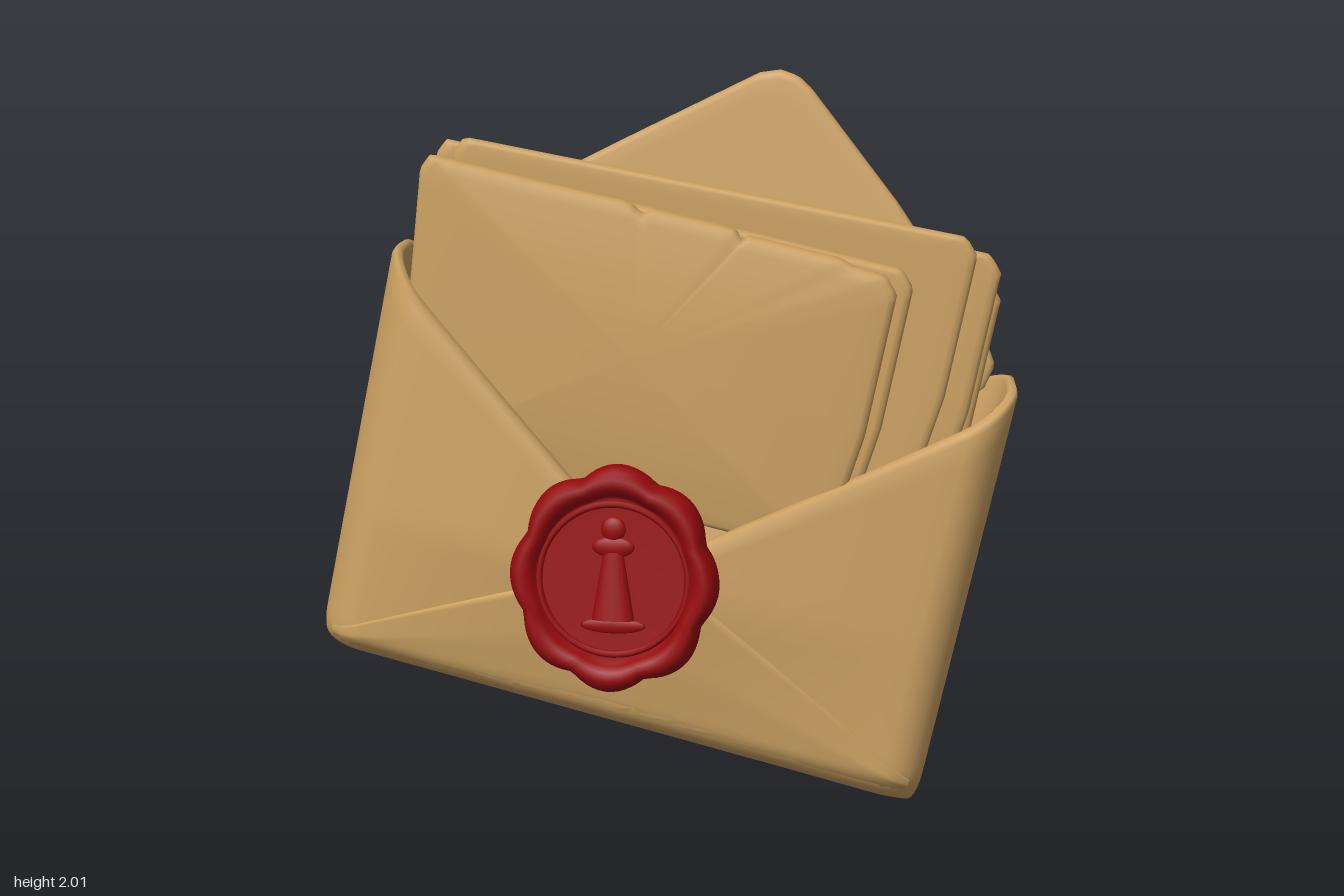
import * as THREE from 'three';

const paper = new THREE.MeshStandardMaterial({ color: 0xc99f61 });
paper.name = 'tan paper';
const wax = new THREE.MeshStandardMaterial({ color: 0x94080b });
wax.name = 'red wax';

function mesh(name, geometry, material) {
  const m = new THREE.Mesh(geometry, material);
  m.name = name;
  return m;
}

// Skin a list of equal-length rows of points
function loft(rows, closed) {
  const n = rows[0].length, index = [];
  for (let j = 0; j < rows.length - 1; j++) {
    for (let i = 0; i < (closed ? n : n - 1); i++) {
      const k = (i + 1) % n, a = j * n, b = a + n;
      index.push(a + i, a + k, b + k, a + i, b + k, b + i);
    }
  }
  const g = new THREE.BufferGeometry().setFromPoints(rows.flat());
  g.setIndex(index);
  g.computeVertexNormals();
  return g;
}

// Envelope body: [left, right] corners of a leaning, tapering box
const V = (x, y, z) => new THREE.Vector3(x, y, z);
const corners = {
  frontLow: [V(-1.015, 0.355, 0.15), V(0.735, -0.01, 0.385)],
  frontTop: [V(-0.8, 1.49, 0.04), V(0.995, 1.13, 0.26)],
  backLow: [V(-0.99, 0.38, -0.32), V(0.72, -0.01, 0.1)],
  backTop: [V(-0.77, 1.45, -0.475), V(0.985, 1.15, -0.14)],
};
const RS = 0.14, RT = 0.8; // corner radii of the section

// s runs left to right, t back to front, v bottom to top
function wall(s, t, v) {
  const q = Math.min(1, v / 0.09);
  const round = Math.sqrt(Math.max(0, 1 - (1 - q) ** 2));
  const bulge = 1 + 0.38 * (1 - s * s) * Math.min(1, v / 0.4);
  const u = (s * (0.975 + 0.025 * round) + 1) / 2;
  const w = (t * round * bulge + 1) / 2;
  const edge = (k) => corners[k][0].clone().lerp(corners[k][1], u);
  const front = edge('frontLow').lerp(edge('frontTop'), v);
  const back = edge('backLow').lerp(edge('backTop'), v);
  return back.lerp(front, w);
}

// Rounded-rectangle section, starting at the front left
function section() {
  const pts = [];
  const straight = (dir, t) => {
    for (let i = 1; i < 32; i++) pts.push([dir * (1 - RS) * (i / 16 - 1), t]);
  };
  const arc = (cs, ct, from) => {
    for (let i = 0; i <= 7; i++) {
      const a = from - (i / 14) * Math.PI;
      pts.push([cs * (1 - RS) + RS * Math.cos(a), ct * (1 - RT) + RT * Math.sin(a)]);
    }
  };
  straight(1, 1);
  arc(1, 1, Math.PI / 2);
  arc(1, -1, 0);
  straight(-1, -1);
  arc(-1, -1, -Math.PI / 2);
  arc(-1, 1, Math.PI);
  return pts;
}

// Pocket with a V-shaped opening in front and back, and a rolled rim
function pocket() {
  const ring = section();
  const row = (f, inset, lift) => ring.map(([s, t]) => {
    const low = t > 0 ? 0.44 : 0.5;
    const rim = low + (1 - low) * Math.abs(s) + 0.02 * Math.max(0, 1 - t * t);
    return wall(s * (1 - 0.035 * inset), t * (1 - 0.17 * inset), rim * f + lift);
  });
  const rows = [];
  for (let j = 0; j <= 26; j++) rows.push(row((j / 26) ** 1.7, 0, 0));
  rows.push(row(1, 0.25, 0.012), row(1, 0.75, 0.012), row(1, 1, 0));
  for (let j = 1; j <= 12; j++) rows.push(row(1 - j / 12, 1, 0));
  return loft(rows, true);
}

// Triangular bottom flap laid over the front (side 1) or back (side -1)
function bottomFlap(side, apex) {
  const reach = 0.95, rows = [];
  for (let j = 0; j <= 16; j++) {
    const row = [];
    for (let i = 0; i <= 48; i++) {
      const s = side * reach * (i / 24 - 1);
      const over = Math.max(0, (Math.abs(s) - 1 + RS) / RS);
      const t = side * (1 - RT + RT * Math.sqrt(1 - over * over));
      const soft = Math.sqrt((s / reach) ** 2 + 0.006);
      const top = 0.07 + (apex - 0.07) * Math.max(0, 1.03 - soft);
      const f = Math.min(1, j / 15);
      const p = wall(s, t, 0.05 + (top - 0.05) * f);
      const fade = 1 - 0.7 * over;
      p.z += side * fade * (j === 16 ? -0.01 : 0.013 * Math.min(1, f * 2) - 0.002);
      row.push(p);
    }
    rows.push(row);
  }
  return loft(rows, false);
}

// Soft sheet grown from an outline in rings; height(x, y, r) gives its middle z
function sheet(name, points, depth, height) {
  const outline = new THREE.Shape(points.map(([x, y]) => new THREE.Vector2(x, y)));
  outline.closePath();
  const rim = outline.getSpacedPoints(220).slice(0, -1);
  const mid = rim.reduce((m, p) => m.addScaledVector(p, 1 / rim.length), new THREE.Vector2());
  const half = [[0, 1], [0.2, 1], [0.4, 1], [0.6, 1], [0.75, 1], [0.9, 1], [0.965, 1], [0.985, 0.85], [0.997, 0.5]];
  const profile = [...half.map(([r, h]) => [r, -h]), [1, 0], ...half.map(([r, h]) => [r, h]).reverse()];
  return mesh(name, loft(profile.map(([r, h]) => rim.map((p) => {
    const x = mid.x + (p.x - mid.x) * r, y = mid.y + (p.y - mid.y) * r;
    return V(x, y, height(x, y, r) + h * depth / 2);
  })), true), paper);
}

// Letter hung from its two top corners, with optional torn points between
function letter(name, [lx, ly], [rx, ry], depth, [a, b, c], puff = 0, tears = []) {
  return sheet(name, [
    [lx - 0.07, ly - 0.85], [rx - 0.19, ry - 0.8], [rx - 0.08, ry - 0.45], [rx, ry - 0.05],
    [rx - 0.03, ry], ...tears, [lx + 0.03, ly], [lx, ly - 0.04], [lx - 0.04, ly - 0.42],
  ], depth, (x, y, r) => a + b * x + c * y + puff * (1 - r * r));
}

// Scalloped wax disc with a sunken centre
function sealDisc() {
  const profile = [[0, -0.07], [0.9, -0.07], [0.98, -0.045], [1, -0.01], [0.99, 0.02], [0.95, 0.045],
    [0.89, 0.055], [0.82, 0.05], [0.77, 0.035], [0.74, 0.015], [0.71, 0.012], [0, 0.012]];
  return loft(profile.map(([r, z]) => Array.from({ length: 96 }, (_, i) => {
    const a = (i / 96) * Math.PI * 2;
    const lobe = 1 + (Math.abs(Math.cos(4 * a + 0.2)) - 0.65) * 0.09 * r ** 4;
    return V(0.286 * r * lobe * Math.cos(a), 0.31 * r * lobe * Math.sin(a), z);
  })), true);
}

export function createModel() {
  const model = new THREE.Group();
  model.name = 'sealedEnvelope';

  // Envelope; the open flap curves back to meet the pocket
  model.add(mesh('pocket', pocket(), paper));
  model.add(mesh('frontBottomFlap', bottomFlap(1, 0.47), paper));
  model.add(mesh('backBottomFlap', bottomFlap(-1, 0.56), paper));
  model.add(sheet('openTopFlap', [
    [-0.72, 1.42], [-0.1, 0.7], [0.02, 0.68], [0.91, 1.13], [0.94, 1.2], [0.91, 1.28], [0.66, 1.64],
    [0.41, 1.95], [0.37, 1.985], [0.32, 2.0], [0.26, 1.99], [-0.15, 1.78], [-0.7, 1.49],
  ], 0.045, (x, y) => 0.002 + 0.175 * x - 0.179 * y - 0.24 * Math.max(0, 1.3 - y) ** 2));

  // Letters, front to back; the first is a folded sheet with torn edges
  model.add(letter('foldedLetterFront', [-0.69, 1.79], [0.65, 1.52], 0.06, [0.18, 0.22, -0.05], 0.035, [
    [0.53, 1.54], [0.5, 1.56], [0.24, 1.61], [0.225, 1.59], [0.21, 1.625],
    [-0.03, 1.67], [-0.05, 1.65], [-0.09, 1.685], [-0.35, 1.73],
  ]));
  model.add(letter('foldedLetterBack', [-0.68, 1.78], [0.695, 1.53], 0.06, [0.135, 0.215, -0.05]));
  model.add(letter('secondLetter', [-0.6, 1.83], [0.87, 1.61], 0.05, [0.082, 0.174, -0.05]));
  model.add(letter('thirdLetter', [-0.66, 1.81], [0.94, 1.55], 0.05, [0.011, 0.17, -0.05]));
  model.add(letter('fourthLetter', [-0.65, 1.74], [0.945, 1.46], 0.05, [-0.06, 0.175, -0.05]));

  // Wax seal with a raised ring and a small tower relief
  const seal = new THREE.Group();
  seal.name = 'waxSeal';
  seal.add(mesh('sealDisc', sealDisc(), wax));
  const ring = mesh('sealRing', new THREE.TorusGeometry(0.21, 0.01, 8, 64), wax);
  ring.position.z = 0.014;
  seal.add(ring);
  const relief = (name, geometry, x, y, sx = 1) => {
    const m = mesh(name, geometry, wax);
    m.position.set(x, y, 0.012);
    m.scale.set(sx, 1, 0.4);
    seal.add(m);
  };
  relief('reliefTower', new THREE.CylinderGeometry(0.028, 0.06, 0.19, 16), 0, -0.02);
  relief('reliefGallery', new THREE.SphereGeometry(0.03, 16, 10), 0, 0.09, 2);
  relief('reliefRoof', new THREE.SphereGeometry(0.035, 16, 10), 0, 0.14);
  relief('reliefBase', new THREE.SphereGeometry(0.022, 16, 10), 0, -0.13, 4.2);
  seal.position.set(-0.118, 0.68, 0.36);
  seal.rotation.set(-0.16, -0.13, 0);
  model.add(seal);

  return model;
}
